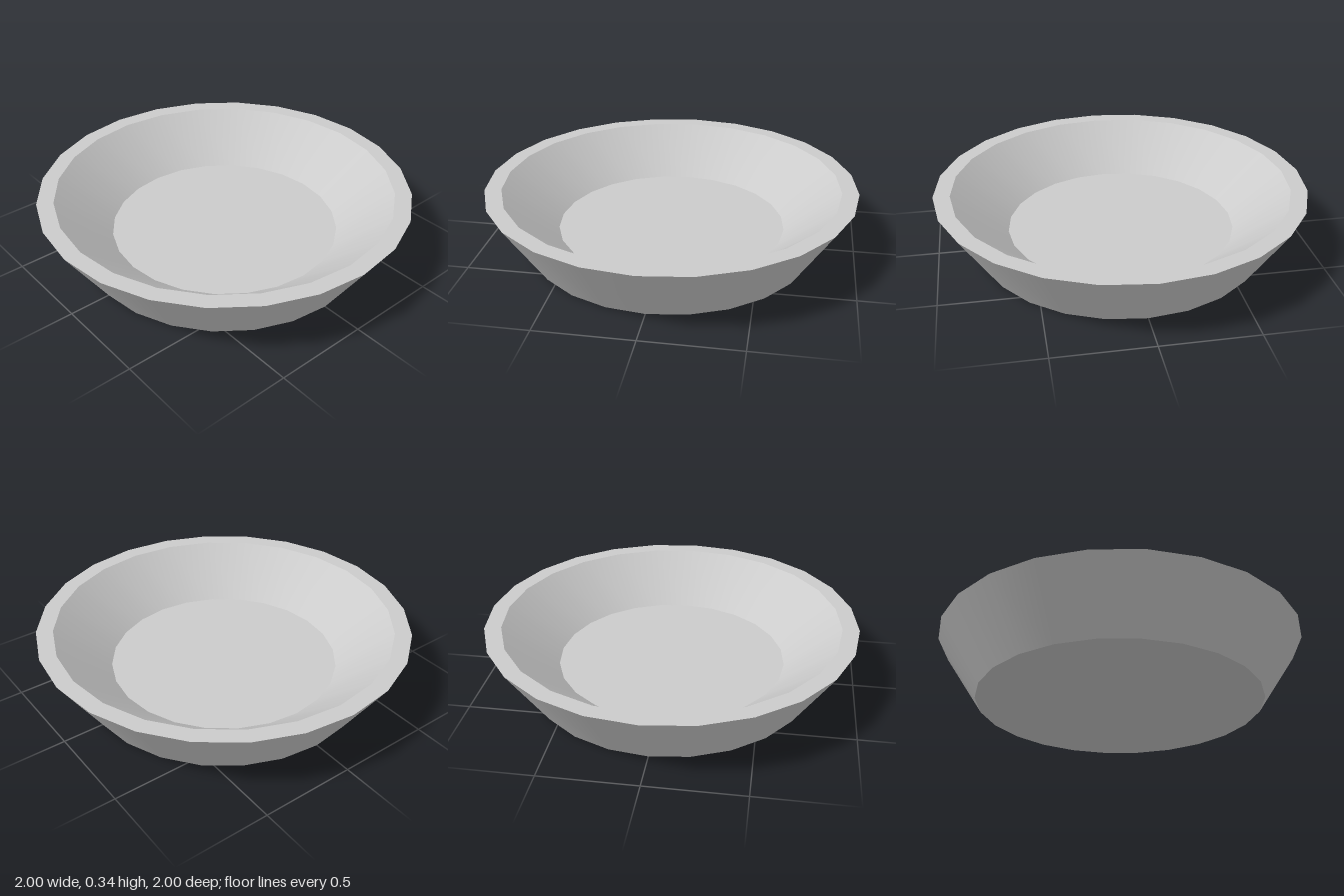
import * as THREE from 'three';

const SIDES = 24;

export function createModel() {
  const model = new THREE.Group();
  model.name = 'bowl';
  const material = new THREE.MeshStandardMaterial({ color: 0xcccccc });

  // Closed profile (radius, height), from the underside up, over the rim and down to the floor
  const profile = [
    [0, 0], [0.78, 0], [1, 0.34], [0.911, 0.34], [0.618, 0.1], [0, 0.1],
  ].map(([r, y]) => new THREE.Vector2(r, y));
  const names = ['underside', 'outerWall', 'rim', 'innerWall', 'floor'];

  // One lathe per band: smooth around the axis, sharp edges between bands
  names.forEach((name, i) => {
    const band = new THREE.Mesh(new THREE.LatheGeometry([profile[i], profile[i + 1]], SIDES), material);
    band.name = name;
    model.add(band);
  });

  return model;
}
